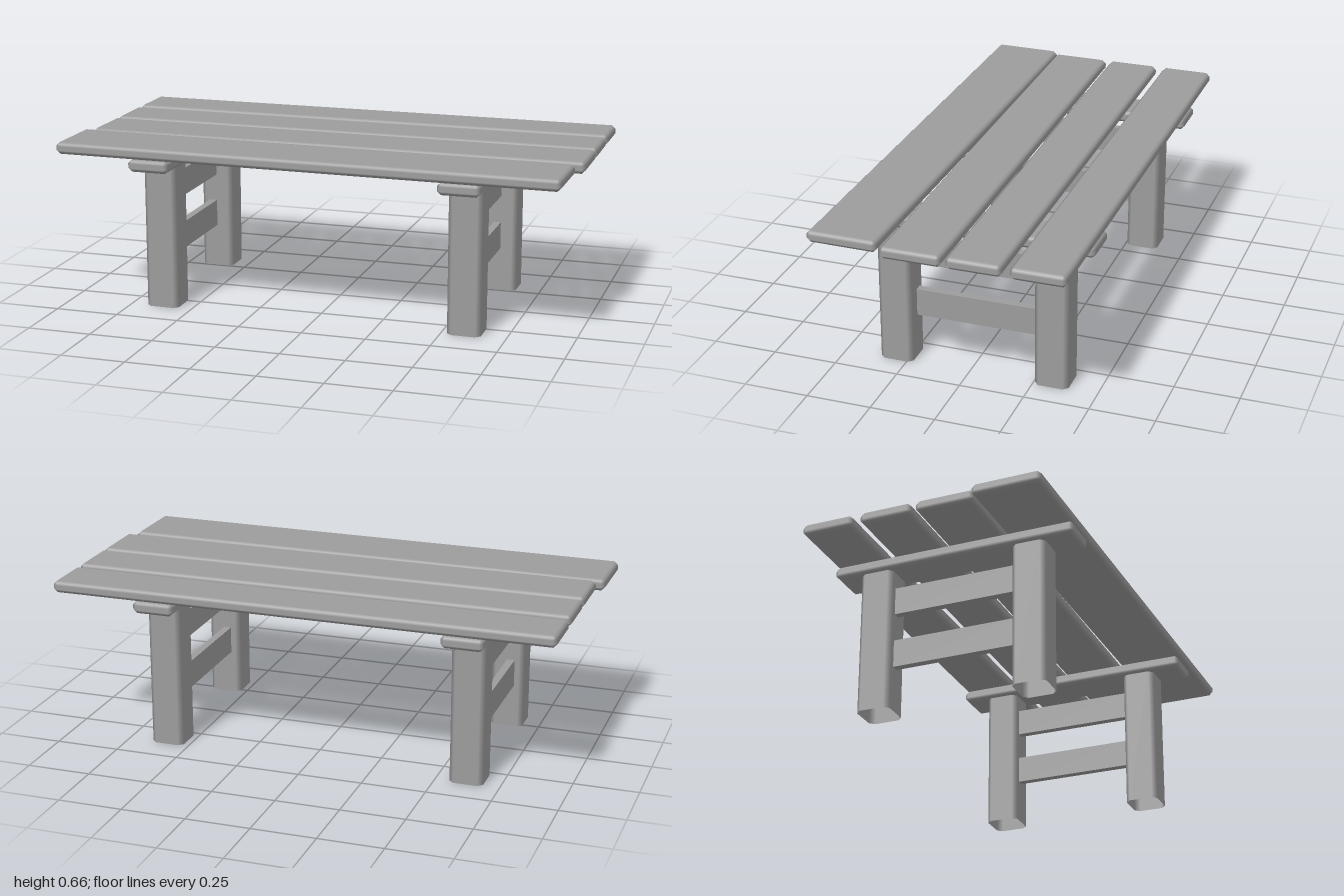
import * as THREE from 'three';

const material = new THREE.MeshStandardMaterial({ color: 0x9c9c9c });
const openMaterial = new THREE.MeshStandardMaterial({ color: 0x9c9c9c, side: THREE.DoubleSide });

// Box with a flat, smoothly shaded chamfer along every edge.
function chamferedBox(w, h, d, c) {
  const geo = new THREE.BoxGeometry(1, 1, 1, 3, 3, 3);
  const { position, normal } = geo.attributes;
  const half = [w / 2, h / 2, d / 2];
  for (let i = 0; i < position.count; i++) {
    const p = [position.getX(i), position.getY(i), position.getZ(i)];
    const out = p.map((v) => (Math.abs(v) > 0.4 ? Math.sign(v) : 0));
    const k = out.filter((v) => v !== 0).length;
    position.setXYZ(i, ...p.map((v, a) => Math.sign(v) * (half[a] - c) + (out[a] * c) / k));
    normal.setXYZ(i, ...out.map((v) => v / Math.sqrt(k)));
  }
  return geo;
}

// Square post with chamfered upright edges and open ends.
function post(w, h, d, c) {
  const geo = new THREE.CylinderGeometry(1, 1, h, 8, 1, true, Math.PI / 8);
  const { position, normal } = geo.attributes;
  for (let i = 0; i < position.count; i++) {
    const x = position.getX(i), z = position.getZ(i);
    const xFace = Math.abs(x) > Math.abs(z);
    position.setX(i, Math.sign(x) * (w / 2 - (xFace ? 0 : c)));
    position.setZ(i, Math.sign(z) * (d / 2 - (xFace ? c : 0)));
    normal.setXYZ(i, xFace ? Math.sign(x) : 0, 0, xFace ? 0 : Math.sign(z));
  }
  return geo;
}

function add(parent, name, geo, x, y, z, mat = material) {
  const mesh = new THREE.Mesh(geo, mat);
  mesh.name = name;
  mesh.position.set(x, y, z);
  parent.add(mesh);
  return mesh;
}

export function createModel() {
  const table = new THREE.Group();
  table.name = 'plankTable';

  // Tabletop: three straight planks and a wider, slightly skewed front one
  const top = new THREE.Group();
  top.name = 'tabletop';
  table.add(top);
  const planks = [
    { x: 0.016, z: -0.386, width: 0.206, turn: 0 },
    { x: 0.016, z: -0.151, width: 0.206, turn: 0 },
    { x: 0.016, z: 0.083, width: 0.229, turn: 0 },
    { x: -0.016, z: 0.345, width: 0.27, turn: -0.0105 },
  ];
  for (const { x, z, width, turn } of planks) {
    const plank = add(top, 'plank', chamferedBox(1.966, 0.046, width, 0.015), x, 0.634, z);
    plank.rotation.y = turn;
  }

  // Trestles: two posts, a bearer under the planks and two thin rails
  for (const [name, x] of [['rightTrestle', -0.62], ['leftTrestle', 0.588]]) {
    const trestle = new THREE.Group();
    trestle.name = name;
    trestle.position.x = x;
    table.add(trestle);
    add(trestle, 'bearer', chamferedBox(0.162, 0.048, 0.963, 0.015), 0, 0.587, -0.007);
    for (const z of [0.293, -0.321]) {
      add(trestle, 'leg', post(0.13, 0.566, 0.131, 0.018), 0, 0.283, z, openMaterial);
    }
    for (const y of [0.444, 0.227]) {
      add(trestle, 'rail', new THREE.BoxGeometry(0.03, 0.108, 0.5), -0.014, y, -0.013);
    }
  }
  return table;
}
